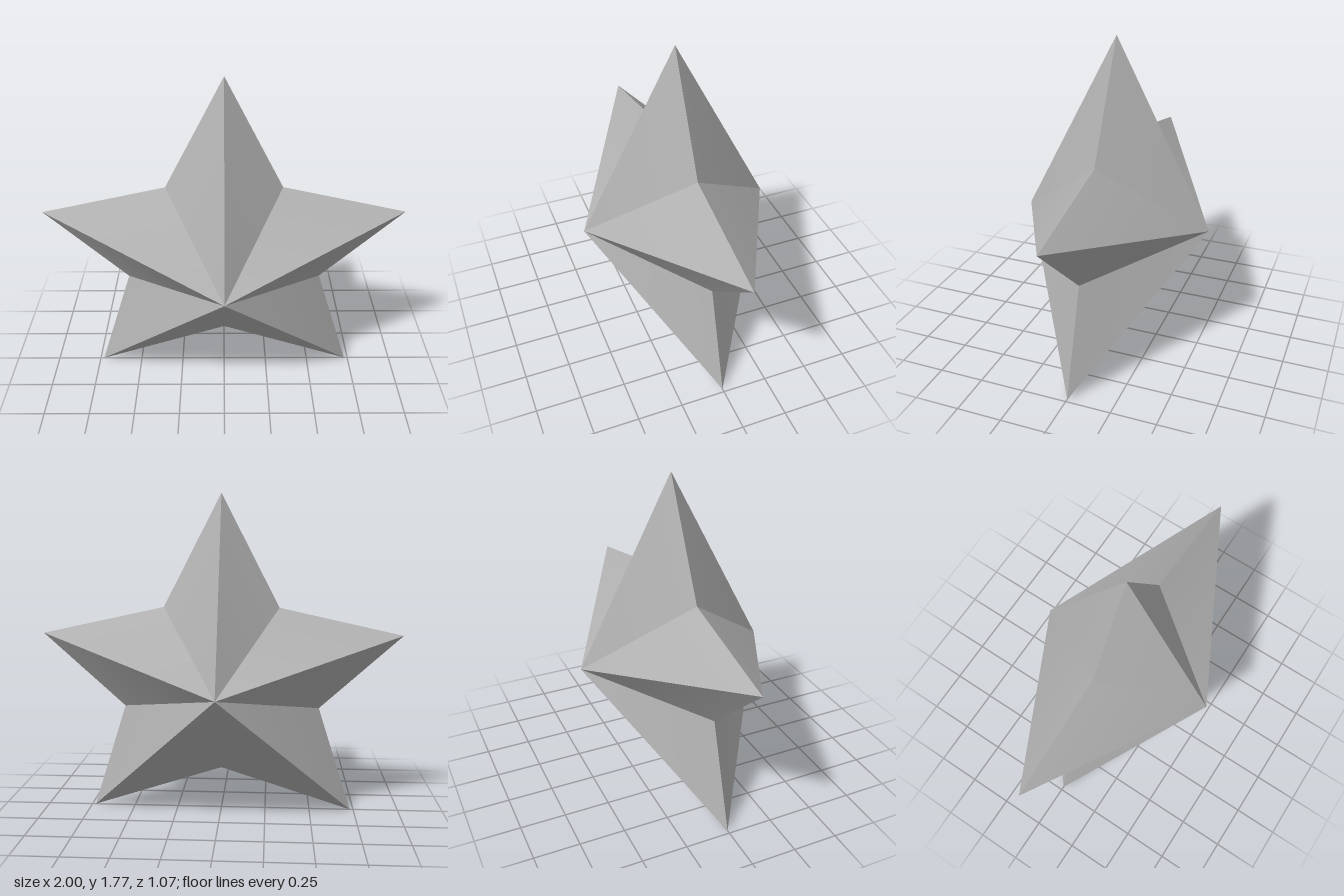
import * as THREE from 'three';
import { toCreasedNormals } from 'three/addons/utils/BufferGeometryUtils.js';

const CENTRE_Y = 0.738;
const DEPTH = 0.535;

// Left half of the outline, from the top tip down to the bottom notch
const half = [
  [0, 1.77], [0.32, 1.15], [1, 1], [0.545, 0.588], [0.73, 0], [0, 0.235],
];

export function createModel() {
  const grey = new THREE.MeshStandardMaterial({ color: 0xb0b0b0 });
  grey.name = 'grey';

  // Mirror the half outline into the full ten-point star, clockwise from the front
  const mirrored = half.slice(1, -1).reverse().map(([x, y]) => [-x, y]);
  const outline = [...half, ...mirrored];

  // Fan each outline edge to the front and back peaks
  const positions = [];
  outline.forEach(([ax, ay], i) => {
    const [bx, by] = outline[(i + 1) % outline.length];
    positions.push(0, CENTRE_Y, DEPTH, bx, by, 0, ax, ay, 0);
    positions.push(0, CENTRE_Y, -DEPTH, ax, ay, 0, bx, by, 0);
  });
  const geometry = new THREE.BufferGeometry();
  geometry.setAttribute('position', new THREE.Float32BufferAttribute(positions, 3));

  // Sharp ridges, with only the shallow bottom valley blended
  const star = new THREE.Mesh(toCreasedNormals(geometry, Math.PI / 6), grey);
  star.name = 'star';

  const model = new THREE.Group();
  model.name = 'facetedStar';
  model.add(star);
  return model;
}
